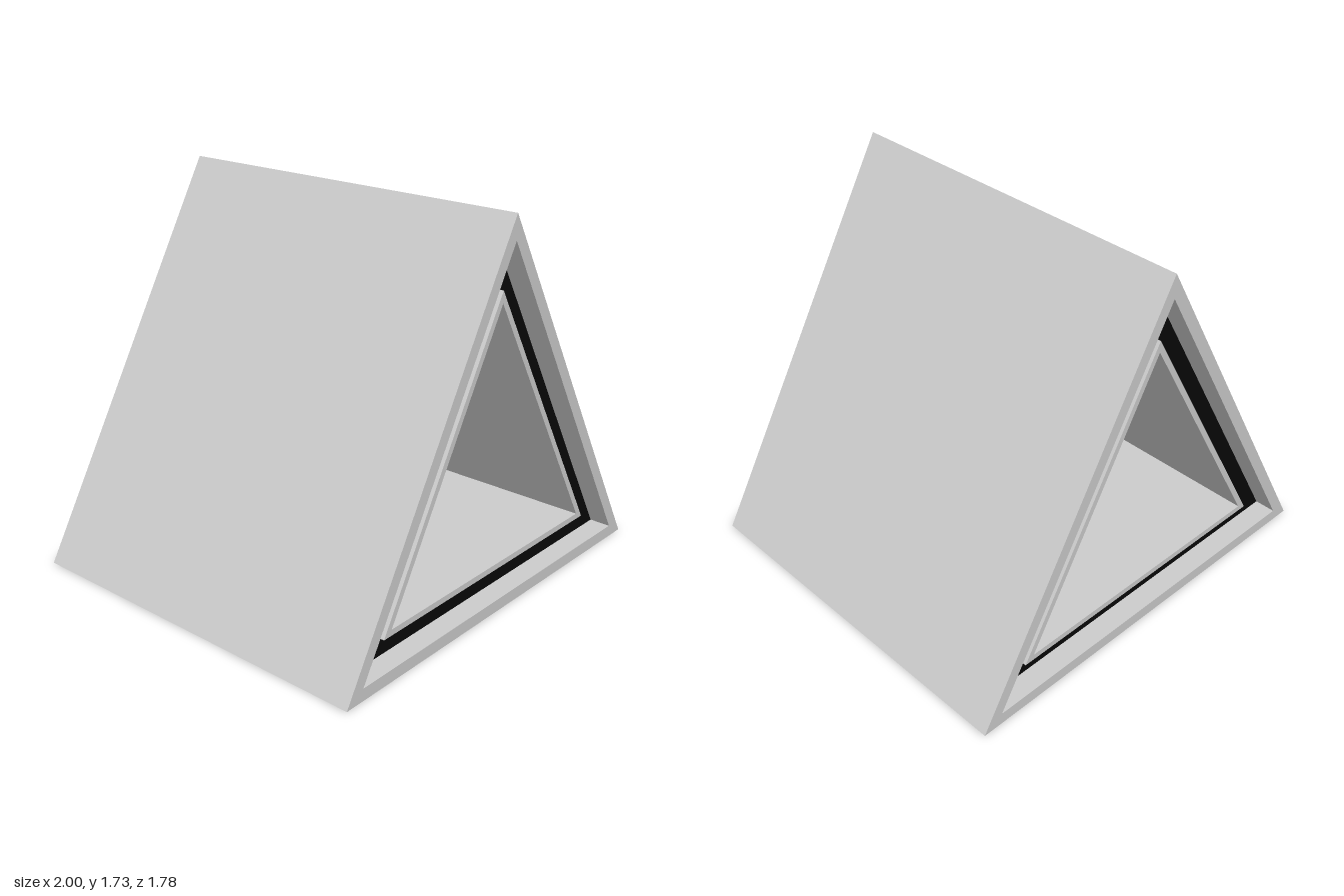
import * as THREE from 'three';

const HALF = 0.89;                    // half the length of the prism
const CENTER_Y = 1 / Math.sqrt(3);    // centroid height of the triangle, side 2
const RIM = 0.055, LIP = 0.16, HOLE = 0.187;   // insets from the outer faces
const FLOOR_Z = HALF - 0.1, LIP_Z = HALF - 0.05;

// Three-sided lathe: the profile lists [inset from the outer face, z]
function triangularRing(name, profile, material) {
  const points = profile.map(([inset, z]) => new THREE.Vector2(2 * (CENTER_Y - inset), z));
  const geometry = new THREE.LatheGeometry(points, 3, Math.PI).toNonIndexed();
  geometry.rotateX(Math.PI / 2);
  geometry.translate(0, CENTER_Y, 0);
  geometry.computeVertexNormals();
  const mesh = new THREE.Mesh(geometry, material);
  mesh.name = name;
  return mesh;
}

export function createModel() {
  const group = new THREE.Group();
  group.name = 'triangularTube';
  const gray = new THREE.MeshStandardMaterial({ color: 0xcccccc });
  gray.name = 'light gray';
  const black = new THREE.MeshStandardMaterial({ color: 0x080808 });
  black.name = 'black';

  // Outer shell with its rims and the groove walls at both ends
  group.add(triangularRing('outerShell', [
    [RIM, -FLOOR_Z], [RIM, -HALF], [0, -HALF],
    [0, HALF], [RIM, HALF], [RIM, FLOOR_Z],
  ], gray));

  // Inner tunnel with a raised lip at both ends
  group.add(triangularRing('innerTunnel', [
    [LIP, FLOOR_Z], [LIP, LIP_Z], [HOLE, LIP_Z],
    [HOLE, -LIP_Z], [LIP, -LIP_Z], [LIP, -FLOOR_Z],
  ], gray));

  // Black groove floors between rim and lip
  group.add(triangularRing('frontGroove', [[RIM, FLOOR_Z], [LIP, FLOOR_Z]], black));
  group.add(triangularRing('backGroove', [[LIP, -FLOOR_Z], [RIM, -FLOOR_Z]], black));

  return group;
}
